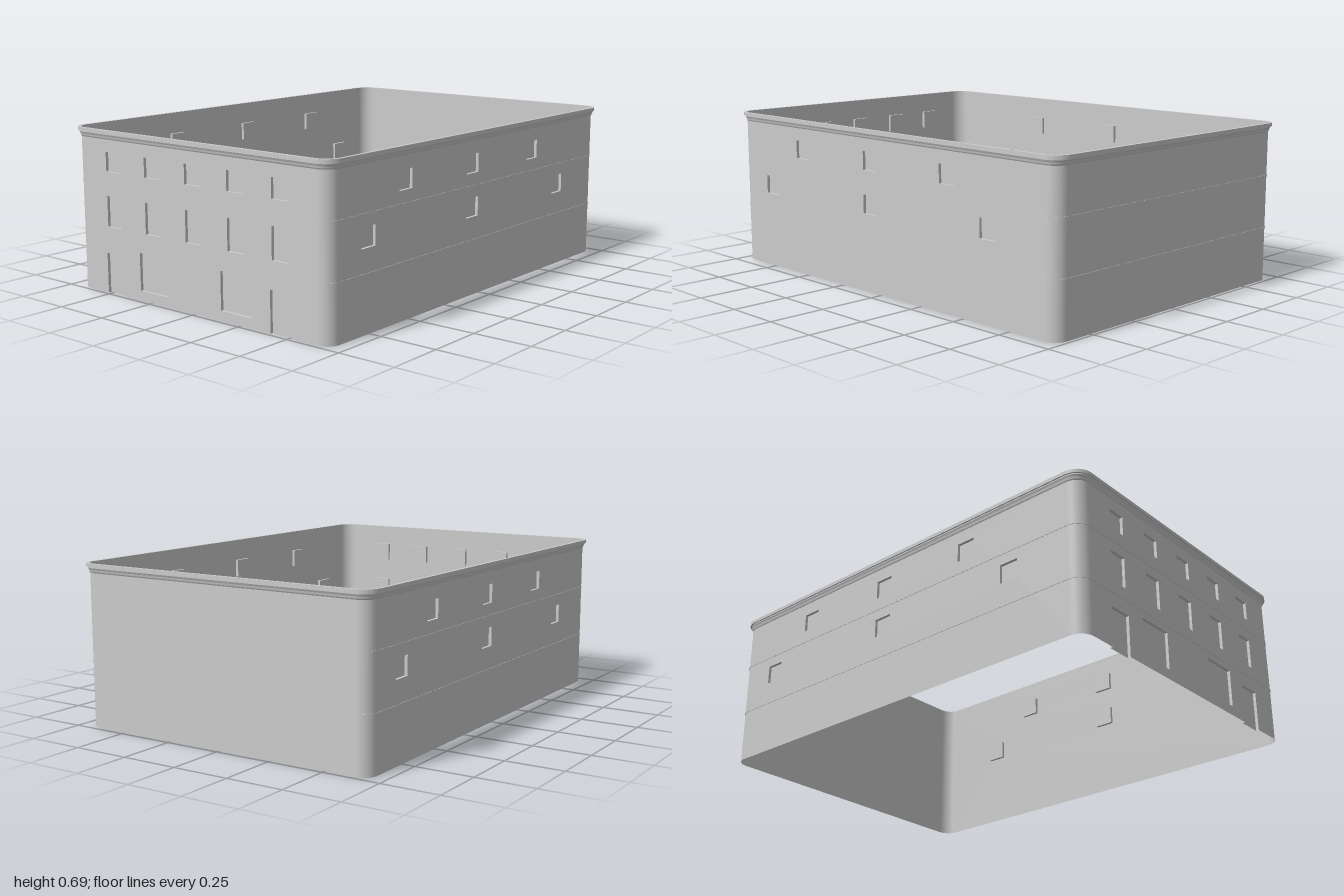
import * as THREE from 'three';

const HX = 0.695, HZ = 0.985, R = 0.06, WALL_H = 0.66, DEPTH = 0.013;
const mat = new THREE.MeshStandardMaterial({ color: 0xcccccc, side: THREE.DoubleSide });

function mesh(name, geometry) {
  const m = new THREE.Mesh(geometry, mat);
  m.name = name;
  return m;
}

// Sweep a profile of [outward offset, height] points around the rounded plan
function sweep(profile, steps = 8) {
  const dirs = [];
  for (let k = 0; k < 4; k++) {
    const cx = (k < 2 ? 1 : -1) * (HX - R);
    const cz = (k === 0 || k === 3 ? 1 : -1) * (HZ - R);
    for (let i = 0; i <= steps; i++) {
      const a = (k + i / steps) * Math.PI / 2;
      dirs.push([cx, cz, Math.sin(a), Math.cos(a)]);
    }
  }
  const n = dirs.length, pos = [], idx = [];
  for (let j = 0; j < profile.length - 1; j++) {
    const base = pos.length / 3;
    for (const [o, y] of [profile[j], profile[j + 1]])
      for (const [cx, cz, s, c] of dirs) pos.push(cx + s * (R + o), y, cz + c * (R + o));
    for (let i = 0; i < n; i++) {
      const a = base + i, b = base + (i + 1) % n;
      idx.push(a, b, b + n, a, b + n, a + n);
    }
  }
  const g = new THREE.BufferGeometry();
  g.setAttribute('position', new THREE.Float32BufferAttribute(pos, 3));
  g.setIndex(idx);
  g.computeVertexNormals();
  return g;
}

// Recessed box, open to the street (and at the ground for doors)
function recess({ name, x, y0, y1, w }) {
  const g = new THREE.BoxGeometry(w, y1 - y0, DEPTH);
  const all = Array.from(g.index.array);
  g.setIndex(all.filter((_, i) => !(i >= 24 && i < 30) && !(y0 === 0 && i >= 18 && i < 24)));
  g.clearGroups();
  const m = mesh(name, g);
  m.position.set(x, (y0 + y1) / 2, -DEPTH / 2);
  return m;
}

// Flat wall facing +z, pierced by its openings
function wall(name, half, openings) {
  const group = new THREE.Group();
  group.name = name;
  const s = new THREE.Shape();
  s.moveTo(-half, 0);
  for (const { x, y0, y1, w } of openings) {
    const l = x - w / 2, r = x + w / 2;
    if (y0 === 0) {
      s.lineTo(l, 0); s.lineTo(l, y1); s.lineTo(r, y1); s.lineTo(r, 0);
    } else {
      const h = new THREE.Path();
      h.moveTo(l, y0); h.lineTo(l, y1); h.lineTo(r, y1); h.lineTo(r, y0); h.closePath();
      s.holes.push(h);
    }
  }
  s.lineTo(half, 0); s.lineTo(half, WALL_H); s.lineTo(-half, WALL_H); s.closePath();
  group.add(mesh(name + 'Surface', new THREE.ShapeGeometry(s)));
  for (const o of openings) group.add(recess(o));
  return group;
}

const row = (name, xs, y0, y1, w) => xs.map(x => ({ name, x, y0, y1, w }));

export function createModel() {
  const model = new THREE.Group();
  model.name = 'building';

  const bays = [-0.464, -0.232, 0, 0.23, 0.46];
  const frontOpenings = [
    ...row('door', [-0.464, 0.461], 0, 0.172, 0.11),
    ...row('shopWindow', [-0.232, 0.23], 0.042, 0.203, 0.168),
    ...row('middleWindow', bays, 0.286, 0.418, 0.086),
    ...row('upperWindow', bays, 0.52, 0.603, 0.086),
  ];
  const sideOpenings = [
    ...row('middleWindow', [-0.757, -0.062, 0.633], 0.335, 0.417, 0.086),
    ...row('upperWindow', [-0.525, -0.062, 0.406], 0.52, 0.6, 0.084),
  ];

  // Four walls
  const front = wall('frontWall', HX - R, frontOpenings);
  front.position.z = HZ;
  const back = wall('backWall', HX - R, []);
  back.position.z = -HZ;
  back.rotation.y = Math.PI;
  model.add(front, back);
  for (const side of [1, -1]) {
    const w = wall(side > 0 ? 'leftWall' : 'rightWall', HZ - R, sideOpenings);
    w.position.x = side * HX;
    w.rotation.y = side * Math.PI / 2;
    model.add(w);
  }

  // Rounded corners
  for (let k = 0; k < 4; k++) {
    const c = mesh('corner', new THREE.CylinderGeometry(R, R, WALL_H, 8, 1, true, k * Math.PI / 2, Math.PI / 2));
    c.position.set((k < 2 ? 1 : -1) * (HX - R), WALL_H / 2, (k === 0 || k === 3 ? 1 : -1) * (HZ - R));
    model.add(c);
  }

  // Thin string courses between the floors
  for (const y of [0.235, 0.465])
    model.add(mesh('stringCourse', sweep([[0, y - 0.004], [0.002, y - 0.004], [0.002, y + 0.004], [0, y + 0.004]])));

  // Stepped cornice
  model.add(mesh('cornice', sweep([
    [0, 0.655], [0.003, 0.66], [0.005, 0.668], [0.009, 0.676], [0.009, 0.68],
    [0.015, 0.68], [0.015, 0.695], [0, 0.695], [0, 0.655],
  ])));
  return model;
}
